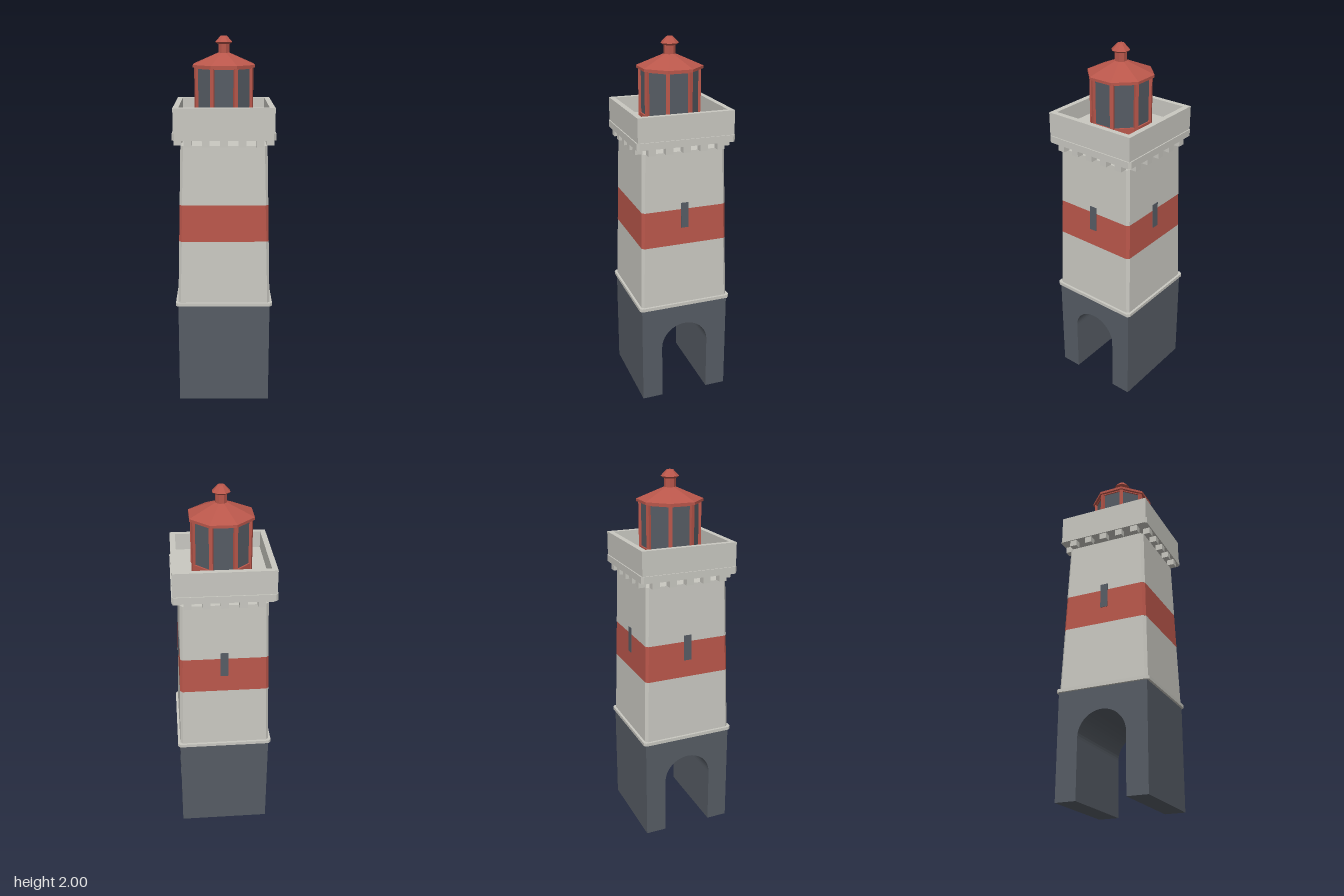
import * as THREE from 'three';

const mat = (name, color) => {
  const m = new THREE.MeshStandardMaterial({ color, flatShading: true });
  m.name = name;
  return m;
};

// Square solid with chamfered corners, lofted between [y, halfWidth, chamfer] sections
function chamferedLoft(sections) {
  const loops = sections.map(([y, h, c]) => {
    const k = h - c;
    return [[h, -k], [h, k], [k, h], [-k, h], [-h, k], [-h, -k], [-k, -h], [k, -h]]
      .map(([x, z]) => [x, y, z]);
  });
  const pos = [];
  const tri = (...pts) => pts.forEach((p) => pos.push(...p));
  const last = loops.length - 1;
  for (let i = 0; i < 8; i++) {
    const j = (i + 1) % 8;
    for (let s = 0; s < last; s++) {
      const a = loops[s][i], b = loops[s][j], c = loops[s + 1][j], d = loops[s + 1][i];
      tri(a, d, c);
      tri(a, c, b);
    }
    tri([0, sections[0][0], 0], loops[0][i], loops[0][j]);
    tri([0, sections[last][0], 0], loops[last][j], loops[last][i]);
  }
  const g = new THREE.BufferGeometry();
  g.setAttribute('position', new THREE.Float32BufferAttribute(pos, 3));
  g.computeVertexNormals();
  return g;
}

// Octagonal drum with flat sides facing the axes; radii are measured to the flats
function octagon(y0, y1, r0, r1) {
  const k = 1 / Math.cos(Math.PI / 8);
  return new THREE.CylinderGeometry(r1 * k, r0 * k, y1 - y0, 8)
    .rotateY(Math.PI / 8).translate(0, (y0 + y1) / 2, 0);
}

const squareOutline = (h, Type) => new Type([
  new THREE.Vector2(-h, -h), new THREE.Vector2(h, -h),
  new THREE.Vector2(h, h), new THREE.Vector2(-h, h),
]);

export function createModel() {
  const model = new THREE.Group();
  model.name = 'lighthouse';
  const stone = mat('pale stone', 0xc9c8c1);
  const slate = mat('dark slate', 0x565c64);
  const red = mat('red paint', 0xba574b);

  const add = (name, geometry, material, parent = model) => {
    const m = new THREE.Mesh(geometry, material);
    m.name = name;
    parent.add(m);
    return m;
  };

  // Base block with an arched passage running left to right
  const arch = new THREE.Shape();
  arch.moveTo(-0.25, 0);
  arch.lineTo(-0.135, 0);
  arch.lineTo(-0.135, 0.315);
  arch.absarc(0, 0.315, 0.135, Math.PI, 0, true);
  arch.lineTo(0.135, 0);
  arch.lineTo(0.25, 0);
  arch.lineTo(0.25, 0.57);
  arch.lineTo(-0.25, 0.57);
  const base = new THREE.ExtrudeGeometry(arch, { depth: 0.5, bevelEnabled: false, curveSegments: 16 });
  add('archedBase', base.translate(0, 0, -0.25).rotateY(Math.PI / 2), slate);

  add('baseLedge', chamferedLoft([[0.57, 0.263, 0.013], [0.588, 0.263, 0.013]]), stone);

  // Tapering tower in three courses, the middle one painted
  const half = (y) => 0.25 - (y - 0.588) * 0.0267;
  const course = (y0, y1) => chamferedLoft([[y0, half(y0), 0.013], [y1, half(y1), 0.015]]);
  add('lowerTower', course(0.588, 0.935), stone);
  add('paintedBand', course(0.935, 1.135), red);
  add('upperTower', course(1.135, 1.45), stone);

  // Slit windows on the left, back and right walls
  for (const turn of [1, 2, 3]) {
    const side = new THREE.Group();
    side.name = 'slitWindow';
    side.rotation.y = turn * Math.PI / 2;
    const slit = add('slitPane', new THREE.BoxGeometry(0.042, 0.14, 0.006), slate, side);
    slit.position.set(0, 1.1, half(1.1));
    slit.rotation.x = -Math.atan(0.0267);
    model.add(side);
  }

  // Corbels carrying the gallery
  for (let s = 0; s < 4; s++) {
    const side = new THREE.Group();
    side.name = 'corbelRow';
    side.rotation.y = s * Math.PI / 2;
    for (let i = -2; i <= 2; i++) {
      add('corbel', new THREE.BoxGeometry(0.04, 0.036, 0.04), stone, side)
        .position.set(i * 0.094, 1.468, 0.242);
    }
    model.add(side);
  }

  // Gallery: moulding, floor and open parapet
  add('galleryMoulding', chamferedLoft([[1.485, 0.268, 0.012], [1.522, 0.268, 0.012]]), stone);
  add('galleryFloor', new THREE.BoxGeometry(0.47, 0.04, 0.47).translate(0, 1.54, 0), stone);
  const wall = squareOutline(0.262, THREE.Shape);
  wall.holes.push(squareOutline(0.233, THREE.Path));
  const parapet = new THREE.ExtrudeGeometry(wall, { depth: 0.128, bevelEnabled: false });
  add('parapet', parapet.rotateX(-Math.PI / 2).translate(0, 1.522, 0), stone);

  // Lantern room: sill, glazing, corner posts and head rail
  add('lanternSill', octagon(1.56, 1.605, 0.152, 0.152), red);
  add('lanternGlass', octagon(1.605, 1.838, 0.143, 0.143), slate);
  add('lanternHeadRail', octagon(1.832, 1.842, 0.15, 0.15), red);
  for (let i = 0; i < 8; i++) {
    const a = (i + 0.5) * Math.PI / 4;
    const post = add('lanternPost', new THREE.BoxGeometry(0.02, 0.28, 0.02), red);
    post.position.set(Math.sin(a) * 0.155, 1.7, Math.cos(a) * 0.155);
    post.rotation.y = a;
  }

  // Roof, vent neck and finial
  add('roofEave', octagon(1.838, 1.852, 0.163, 0.163), red);
  add('roof', octagon(1.852, 1.912, 0.163, 0.03), red);
  add('ventNeck', octagon(1.905, 1.962, 0.029, 0.029), red);
  add('finialUnderside', octagon(1.957, 1.967, 0.032, 0.045), red);
  add('finialCap', octagon(1.967, 2.0, 0.045, 0.016), red);

  return model;
}
